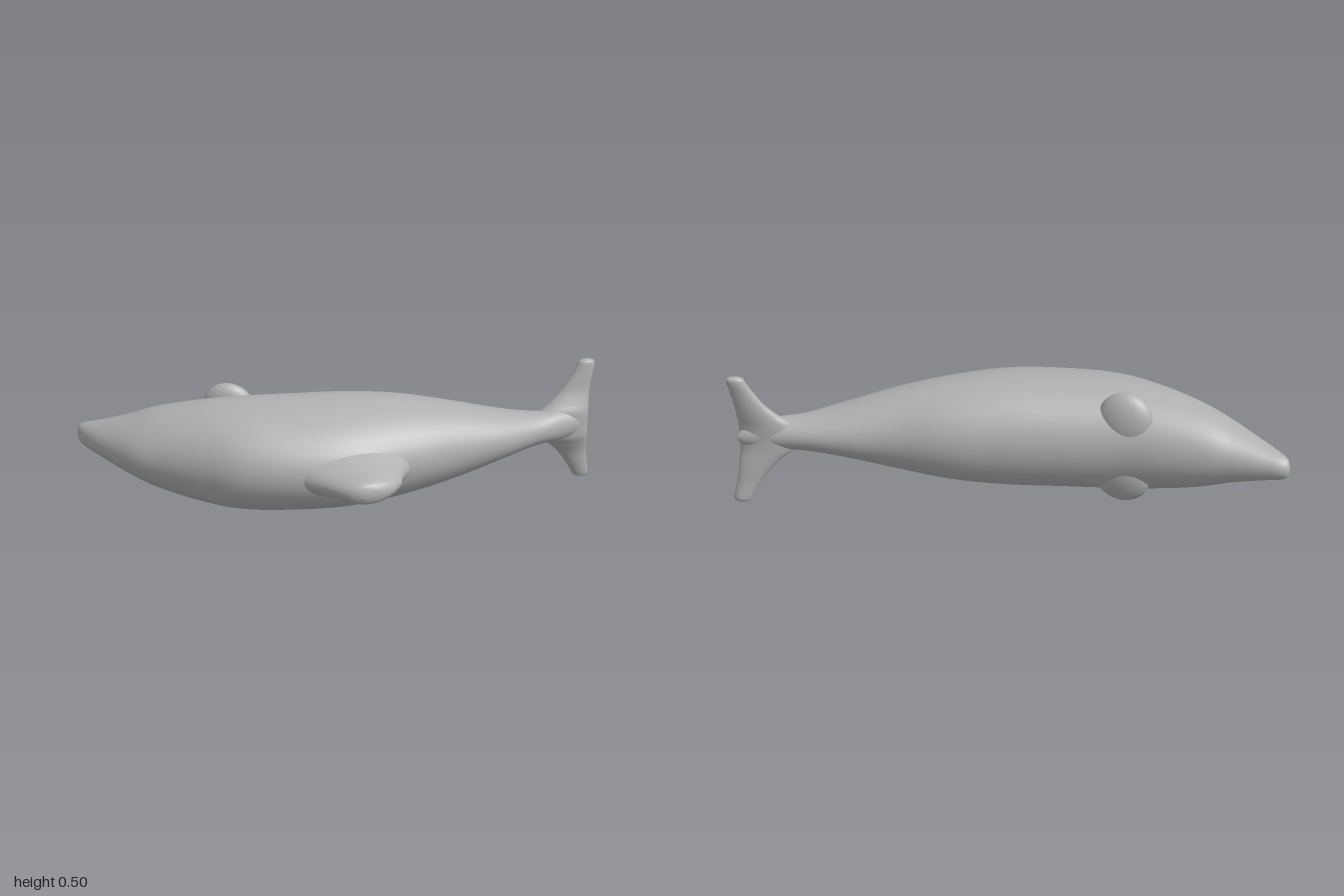
import * as THREE from 'three';

const SIDES = 40;
const STEPS = 6;

// Catmull-Rom blend of one table column
function spline(a, b, c, d, t) {
  const m0 = (c - a) / 2, m1 = (d - b) / 2;
  return (2 * b - 2 * c + m0 + m1) * t ** 3 + (-3 * b + 3 * c - 2 * m0 - m1) * t * t + m0 * t + b;
}

// Smooth extra rows between the given ones
function refine(rows) {
  const out = [];
  const last = rows.length - 1;
  for (let i = 0; i < last; i++) {
    const [a, b, c, d] = [rows[Math.max(i - 1, 0)], rows[i], rows[i + 1], rows[Math.min(i + 2, last)]];
    for (let s = 0; s < STEPS; s++) out.push(b.map((_, k) => spline(a[k], b[k], c[k], d[k], s / STEPS)));
  }
  out.push(rows[last]);
  return out;
}

// Closed skin over oval sections; row = [along axis, uMin, uMax, vMin, vMax, v of widest point]
// place(t, u, v) puts a point in space, with axis, u, v right-handed
function loft(rows, place) {
  const rings = refine(rows);
  const pos = [], index = [];
  for (const [t, u0, u1, v0, v1, vm] of rings) {
    for (let j = 0; j < SIDES; j++) {
      const a = (j / SIDES) * Math.PI * 2;
      const s = Math.sin(a);
      const u = (u0 + u1) / 2 + ((u1 - u0) / 2) * Math.cos(a);
      const v = vm + s * (s > 0 ? v1 - vm : vm - v0);
      pos.push(...place(t, u, v));
    }
  }
  for (let i = 0; i < rings.length - 1; i++) {
    for (let j = 0; j < SIDES; j++) {
      const k = (j + 1) % SIDES;
      const a = i * SIDES + j, b = i * SIDES + k;
      index.push(a, b, a + SIDES, b, b + SIDES, a + SIDES);
    }
  }
  // end caps
  [0, rings.length - 1].forEach((r, end) => {
    const [t, u0, u1, , , vm] = rings[r];
    const c = pos.length / 3;
    pos.push(...place(t, (u0 + u1) / 2, vm));
    for (let j = 0; j < SIDES; j++) {
      const a = r * SIDES + j, b = r * SIDES + ((j + 1) % SIDES);
      if (end) index.push(c, a, b);
      else index.push(c, b, a);
    }
  });
  const g = new THREE.BufferGeometry();
  g.setAttribute('position', new THREE.Float32BufferAttribute(pos, 3));
  g.setIndex(index);
  g.computeVertexNormals();
  return g;
}

export function createModel() {
  const group = new THREE.Group();
  const skin = new THREE.MeshStandardMaterial({ color: 0xb0b0b0 });
  skin.name = 'grey skin';
  const midY = 0.255;

  function add(name, geometry) {
    const mesh = new THREE.Mesh(geometry, skin);
    mesh.name = name;
    group.add(mesh);
    return mesh;
  }

  // Body lying on its side: x, half thickness, belly z, back z, z of widest point
  const body = [
    [-1, 0.012, -0.345, -0.32, -0.333],
    [-0.99, 0.036, -0.36, -0.296, -0.33],
    [-0.96, 0.05, -0.367, -0.245, -0.31],
    [-0.9, 0.07, -0.358, -0.16, -0.27],
    [-0.8, 0.108, -0.341, -0.045, -0.21],
    [-0.7, 0.148, -0.33, 0.025, -0.17],
    [-0.55, 0.184, -0.31, 0.115, -0.12],
    [-0.4, 0.203, -0.29, 0.19, -0.09],
    [-0.2, 0.206, -0.285, 0.23, -0.08],
    [0, 0.204, -0.284, 0.225, -0.08],
    [0.2, 0.185, -0.28, 0.165, -0.085],
    [0.4, 0.146, -0.252, 0.09, -0.09],
    [0.6, 0.093, -0.24, 0.01, -0.11],
    [0.74, 0.065, -0.224, -0.06, -0.14],
    [0.85, 0.06, -0.215, -0.11, -0.16],
    [0.93, 0.045, -0.215, -0.148, -0.18],
    [0.968, 0.015, -0.21, -0.18, -0.195],
  ].map(([x, h, z0, z1, zm]) => [x, midY - h, midY + h, z0, z1, zm]);
  add('body', loft(body, (x, y, z) => [x, y, z]));

  // Dorsal fin rising from the back: z, x range, half thickness, y centre
  const fin = [
    [0.05, -0.3, 0.29, 0.12, 0.255],
    [0.15, -0.25, 0.215, 0.1, 0.255],
    [0.22, -0.2, 0.172, 0.075, 0.255],
    [0.28, -0.125, 0.152, 0.055, 0.254],
    [0.325, -0.075, 0.115, 0.046, 0.252],
    [0.35, -0.04, 0.07, 0.034, 0.252],
    [0.361, -0.005, 0.025, 0.01, 0.252],
  ].map(([z, x0, x1, h, y]) => [z, x0, x1, y - h, y + h, y]);
  add('dorsalFin', loft(fin, (z, x, y) => [x, y, z]));

  // Tail flukes: distance from the middle, z range, leading x, trailing x
  const half = [
    [0, -0.215, -0.14, 0.76, 0.968],
    [0.05, -0.216, -0.142, 0.775, 0.968],
    [0.085, -0.219, -0.158, 0.815, 0.97],
    [0.13, -0.223, -0.176, 0.86, 0.973],
    [0.185, -0.227, -0.186, 0.898, 0.982],
    [0.225, -0.232, -0.192, 0.92, 0.99],
    [0.243, -0.23, -0.197, 0.93, 0.988],
    [0.25, -0.22, -0.208, 0.948, 0.972],
  ];
  const row = (side) => ([d, z0, z1, x0, x1]) => {
    const shift = side < 0 ? d * 0.03 : 0;
    return [0.252 + side * d, z0 - shift, z1 - shift, x0 + shift, x1 + shift, (x0 + x1) / 2 + shift];
  };
  const flukes = [...half.slice(1).reverse().map(row(-1)), ...half.map(row(1))];
  add('tailFlukes', loft(flukes, (y, z, x) => [x, y, z]));

  // Short rounded flippers on both flanks
  for (const side of [1, -1]) {
    const flipper = add(side > 0 ? 'upperFlipper' : 'lowerFlipper', new THREE.SphereGeometry(1, 32, 20));
    flipper.scale.set(0.1, 0.1, 0.048);
    flipper.position.set(-0.425, midY + 0.006 + side * 0.114, -0.225);
    flipper.rotation.set(side * 0.15, -0.25, 0);
  }

  return group;
}
